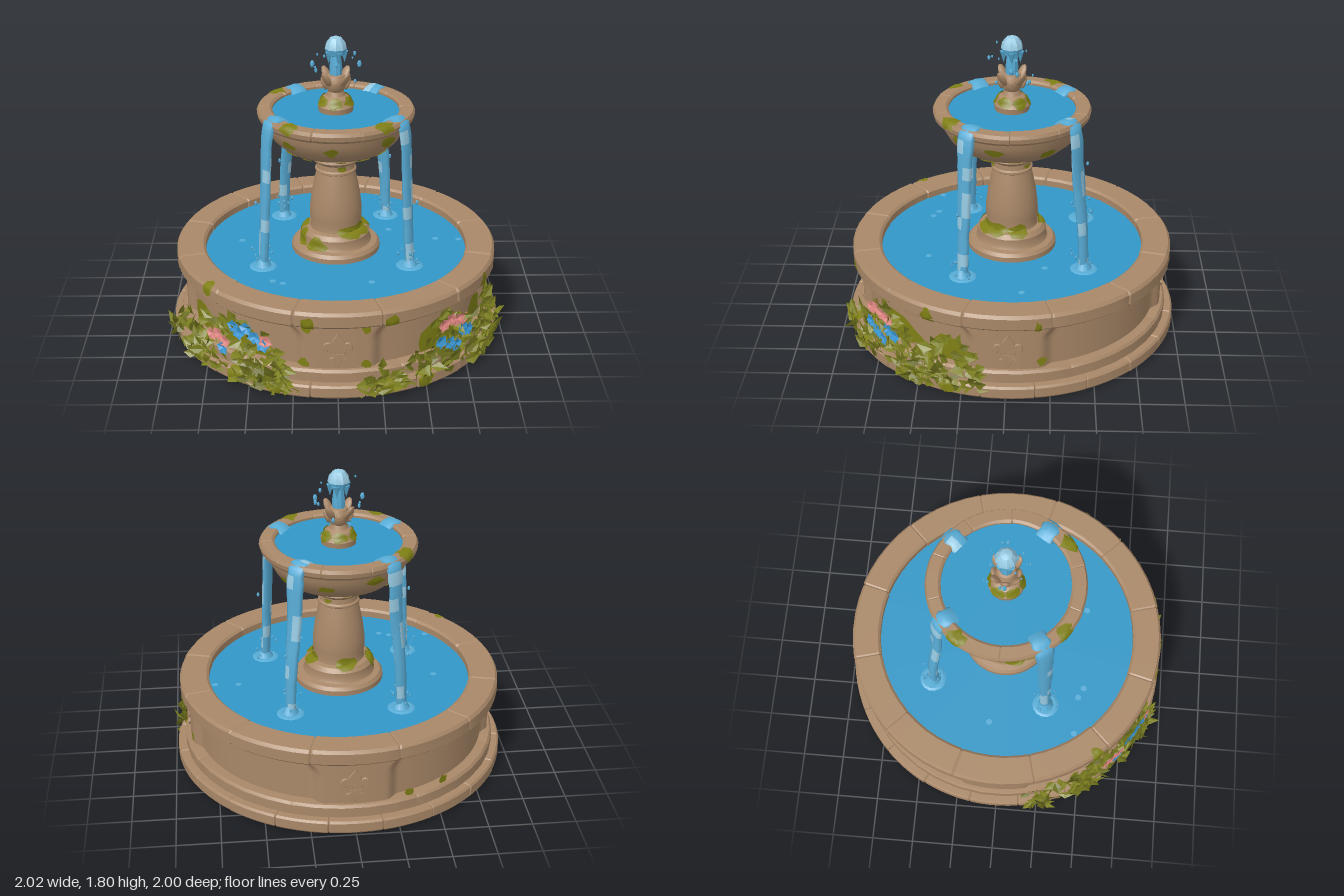
import * as THREE from 'three';
import { mergeGeometries, toCreasedNormals } from 'three/addons/utils/BufferGeometryUtils.js';

const mat = (name, color, double) => {
  const m = new THREE.MeshStandardMaterial({ color });
  m.name = name;
  if (double) m.side = THREE.DoubleSide;
  return m;
};
const deg = Math.PI / 180;

export function createModel() {
  const M = {
    stone: mat('stone', 0xa98868), moss: mat('moss', 0x7f7f16, true),
    leaf: mat('leaf', 0x7d8020, true), darkLeaf: mat('dark leaf', 0x686b1c, true),
    water: mat('pool water', 0x3297c6), stream: mat('falling water', 0x58acd6),
    foam: mat('foam', 0x98cbe3), pink: mat('pink petal', 0xe08782, true), blue: mat('blue petal', 0x3a96d2, true),
  };
  let seed = 7;
  const rnd = () => (seed = (seed * 16807) % 2147483647) / 2147483647;
  const span = (a, b) => a + (b - a) * rnd();
  const root = new THREE.Group();
  root.name = 'fountain';
  root.position.z = -0.013;
  const add = (name, geo, m, parent = root) => {
    const mesh = new THREE.Mesh(geo, m);
    mesh.name = name;
    parent.add(mesh);
    return mesh;
  };
  const polar = (th, r, y) => new THREE.Vector3(r * Math.sin(th), y, r * Math.cos(th));
  const lathe = (profile, segs) => new THREE.LatheGeometry(profile.map(p => new THREE.Vector2(...p)), segs);

  // Ring of stone blocks: a turned profile with grooves pressed in at the joints
  function blockRing(name, profile, blocks, groove, wobble) {
    const ts = [0, 0.02, 0.2, 0.4, 0.6, 0.8, 0.98], n = profile.length, seg = blocks * 7;
    const geo = lathe(profile, seg), pos = geo.attributes.position;
    const cr = profile.reduce((s, p) => s + p[0], 0) / n, cy = profile.reduce((s, p) => s + p[1], 0) / n;
    const offs = Array.from({ length: blocks }, () => span(-wobble, wobble));
    for (let k = 0; k < pos.count; k++) {
      const i = Math.floor(k / n) % seg, b = Math.floor(i / 7), j = i % 7;
      let [r, y] = profile[k % n];
      if (j === 0) {
        r -= Math.sign(r - cr) * groove;
        y -= Math.sign(y - cy) * groove;
      } else r += offs[b];
      const v = polar((b + 0.5 + ts[j]) / blocks * Math.PI * 2, r, y);
      pos.setXYZ(k, v.x, v.y, v.z);
    }
    add(name, toCreasedNormals(geo, 0.45), M.stone);
  }

  // Lower basin
  const plinth = [[0.8, 0.02], [0.978, 0.02], [0.985, 0.03], [0.985, 0.085], [0.975, 0.097], [0.8, 0.097]];
  const ledge = [[0.82, 0.09], [0.937, 0.09], [0.937, 0.155], [0.925, 0.17], [0.82, 0.17], [0.82, 0.09]];
  const rim = [[0.84, 0.44], [0.94, 0.44], [0.957, 0.455], [0.957, 0.52], [0.943, 0.538], [0.8, 0.538], [0.785, 0.525], [0.785, 0.44], [0.84, 0.44]];
  blockRing('plinthBlocks', plinth, 20, 0.005, 0.003);
  blockRing('ledgeBlocks', ledge, 8, 0.003, 0.001);
  blockRing('basinRim', rim, 12, 0.005, 0.004);
  add('underside', new THREE.CircleGeometry(0.976, 80).rotateX(Math.PI / 2).translate(0, 0.018, 0), M.stone);

  // Basin wall: recessed panels between four pilasters that flare under the rim
  const wallRows = [0.1, 0.17, 0.25, 0.32, 0.35, 0.365, 0.38, 0.39, 0.4, 0.41, 0.42, 0.43, 0.445].map(y => [1, y]);
  const wall = lathe(wallRows, 360), wp = wall.attributes.position;
  for (let k = 0; k < wp.count; k++) {
    const th = Math.atan2(wp.getX(k), wp.getZ(k)), y = wp.getY(k);
    const near = Math.abs(th - Math.round(th / (Math.PI / 2)) * Math.PI / 2);
    const half = 0.2 + 0.1 * Math.pow(Math.max(0, (y - 0.34) / 0.105), 2);
    const v = polar(th, 0.868 + 0.04 * THREE.MathUtils.smoothstep(half + 0.09 - near, 0, 0.09), y);
    wp.setXYZ(k, v.x, v.y, v.z);
  }
  wall.computeVertexNormals();
  add('basinWall', toCreasedNormals(wall, 1.2), M.stone);

  // Carved lily ornaments
  const spear = new THREE.Shape();
  spear.moveTo(0, 0.1);
  spear.bezierCurveTo(0.012, 0.07, 0.038, 0.055, 0.034, 0.03);
  spear.bezierCurveTo(0.03, 0.01, 0.014, 0, 0.012, -0.03);
  spear.lineTo(-0.012, -0.03);
  spear.bezierCurveTo(-0.014, 0, -0.03, 0.01, -0.034, 0.03);
  spear.bezierCurveTo(-0.038, 0.055, -0.012, 0.07, 0, 0.1);
  const curl = s => {
    const c = new THREE.Shape();
    c.moveTo(s * 0.014, -0.03);
    c.bezierCurveTo(s * 0.02, 0.02, s * 0.045, 0.055, s * 0.07, 0.035);
    c.bezierCurveTo(s * 0.088, 0.015, s * 0.08, -0.015, s * 0.058, -0.012);
    c.bezierCurveTo(s * 0.066, 0.005, s * 0.05, 0.012, s * 0.034, -0.03);
    return c;
  };
  const foot = new THREE.Shape([[-0.012, -0.04], [-0.045, -0.06], [-0.02, -0.07], [0, -0.105], [0.02, -0.07], [0.045, -0.06], [0.012, -0.04]].map(p => new THREE.Vector2(...p)));
  const relief = new THREE.ExtrudeGeometry([spear, curl(1), curl(-1), foot], { depth: 0.012, bevelSize: 0.003, bevelThickness: 0.005, bevelSegments: 1, curveSegments: 6 });
  for (const a of [0, 90, 180]) {
    const g = new THREE.Group();
    g.name = 'carvedOrnament';
    g.rotation.y = a * deg;
    root.add(g);
    add('lily', relief, M.stone, g).position.set(0, 0.295, 0.902);
    add('lilyBand', new THREE.BoxGeometry(0.07, 0.014, 0.028), M.stone, g).position.set(0, 0.26, 0.91);
  }

  // Pools
  const pool = (name, r, y) => add(name, new THREE.CircleGeometry(r, 64).rotateX(-Math.PI / 2).translate(0, y, 0), M.water);
  pool('lowerPool', 0.8, 0.485);
  pool('upperPool', 0.385, 1.362);

  // Pedestal, upper bowl and finial
  const column = [[0.265, 0.46], [0.265, 0.515], [0.25, 0.535], [0.215, 0.54], [0.205, 0.56], [0.205, 0.6], [0.185, 0.625], [0.155, 0.63], [0.15, 0.66], [0.156, 0.7], [0.154, 0.76], [0.143, 0.85], [0.125, 0.94], [0.115, 0.985], [0.122, 0.99], [0.122, 1.002], [0.112, 1.01], [0.11, 1.04], [0.14, 1.06], [0.148, 1.07], [0.142, 1.085], [0.1, 1.087], [0.09, 1.12]];
  add('pedestal', toCreasedNormals(lathe(column, 32), 0.6), M.stone);
  const bowl = [[0.05, 1.085], [0.13, 1.1], [0.22, 1.119], [0.31, 1.157], [0.372, 1.212], [0.408, 1.28], [0.418, 1.34]];
  const bowlRim = [[0.4, 1.322], [0.44, 1.322], [0.455, 1.338], [0.46, 1.365], [0.45, 1.385], [0.385, 1.387], [0.37, 1.375], [0.37, 1.33], [0.4, 1.322]];
  add('upperBowl', toCreasedNormals(lathe(bowl, 48), 0.6), M.stone);
  blockRing('bowlRim', bowlRim, 10, 0.003, 0.002);
  const finial = [[0.1, 1.35], [0.105, 1.395], [0.09, 1.415], [0.08, 1.44], [0.055, 1.455], [0.045, 1.48], [0.06, 1.51], [0.065, 1.54], [0.05, 1.575], [0, 1.59]];
  add('finial', toCreasedNormals(lathe(finial, 20), 0.6), M.stone);
  for (let i = 0; i < 8; i++) {
    const petal = add('finialPetal', new THREE.SphereGeometry(1, 8, 6), M.stone);
    const outer = i % 2, th = i * Math.PI / 4;
    petal.scale.set(0.03, outer ? 0.055 : 0.042, 0.016);
    petal.rotation.set(outer ? 0.55 : 0.3, th, 0, 'YXZ');
    petal.position.copy(polar(th, outer ? 0.076 : 0.068, outer ? 1.56 : 1.525));
  }

  // Moss: blobs that follow a turned profile, s is the distance along it
  const mossParts = [];
  function moss(profile, angle, s, w, h, off = 0.007) {
    const at = d => {
      let i = 0, len;
      for (;; i++) {
        len = Math.hypot(profile[i + 1][0] - profile[i][0], profile[i + 1][1] - profile[i][1]);
        if (d <= len || i === profile.length - 2) break;
        d -= len;
      }
      const t = THREE.MathUtils.clamp(d / len, 0, 1), [a, b] = [profile[i], profile[i + 1]];
      const dr = b[0] - a[0], dy = b[1] - a[1];
      return [a[0] + dr * t + dy / len * off, a[1] + dy * t - dr / len * off];
    };
    const N = 10, rings = 4, pos = [], idx = [], r0 = at(s)[0];
    const edge = Array.from({ length: N }, () => span(0.7, 1.2));
    for (let k = 0; k <= rings; k++) for (let i = 0; i < N; i++) {
      const q = k / rings * edge[i], f = i / N * Math.PI * 2;
      const [r, y] = at(Math.max(0, s + Math.sin(f) * q * h));
      pos.push(...polar(angle * deg + Math.cos(f) * q * w / r0, r, y).toArray());
      if (k < rings) {
        const a = k * N + i, b = k * N + (i + 1) % N;
        idx.push(a, a + N, b, b, a + N, b + N);
      }
    }
    const g = new THREE.BufferGeometry();
    g.setAttribute('position', new THREE.Float32BufferAttribute(pos, 3));
    g.setIndex(idx);
    g.computeVertexNormals();
    mossParts.push(g);
  }
  const panel = [[0.872, 0.17], [0.872, 0.44]], pilaster = [[0.908, 0.17], [0.908, 0.44]];
  for (const [a, s, w] of [[-50, 0.19, 0.045], [-10, 0.13, 0.04], [18, 0.12, 0.045], [100, 0.12, 0.02], [62, 0.14, 0.04]]) moss(rim, a, s, w, 0.055);
  for (const a of [-38, 38, -125]) moss(bowlRim, a, 0.125, 0.06, 0.06);
  for (let i = 0; i < 9; i++) moss(bowl, i * 40 + span(-8, 8), span(0.36, 0.43), span(0.04, 0.06), span(0.025, 0.04));
  for (let i = 0; i < 12; i++) moss(bowl, i * 30 + span(-8, 8), span(0.14, 0.27), span(0.03, 0.05), span(0.025, 0.045));
  for (const a of [-70, -35, 30, 55, 100, 190, 260]) moss(column, a, span(0.14, 0.26), 0.07, 0.055);
  for (const a of [15, 140, 260]) moss(column, a, 0.66, 0.03, 0.035);
  for (const a of [0, 60, 120, 180, 240, 300]) moss(finial, a, 0.075, 0.045, 0.035);
  for (const [a, w] of [[-38, 0.24], [-62, 0.13], [43, 0.2], [68, 0.16]]) moss(panel, a, 0.06, w, 0.1);
  for (const [a, s] of [[-12, 0.03], [10, 0.02], [10, 0.25], [-11, 0.25], [102, 0.05], [200, 0.02], [215, 0.02]]) moss(pilaster, a, s, 0.03, 0.03);
  for (const a of [-55, -35, -21, 16, 30, 55, 70]) moss(plinth, a, 0.24, 0.07, 0.06);
  add('mossPatches', mergeGeometries(mossParts), M.moss);

  // Four streams pouring over the bowl rim, with paler flecks
  const drops = [];
  const drop = (v, size) => drops.push(new THREE.IcosahedronGeometry(size, 0).scale(0.8, 1.3, 0.8).translate(v.x, v.y, v.z));
  for (const [angle, end] of [[57.5, 0.51], [-57.5, 0.51], [143, 0.535], [-143, 0.535]]) {
    const th = angle * deg, rows = 26, N = 8, pos = [], idx = [[], []];
    const path = new THREE.CatmullRomCurve3([[0.345, 1.358], [0.385, 1.38], [0.44, 1.378], [0.464, 1.3], [0.48, 1.05], [end - 0.015, 0.75], [end, 0.48]].map(([r, y]) => polar(th, r, y)));
    const side = polar(th + Math.PI / 2, 1, 0);
    const pale = Array.from({ length: rows * 2 }, (_, q) => rnd() < (q < 12 ? 0.35 : 0.16));
    for (let i = 0; i <= rows; i++) {
      const t = i / rows, c = path.getPointAt(t), n = side.clone().cross(path.getTangentAt(t));
      const w = THREE.MathUtils.lerp(0.06, 0.032, t) * span(0.93, 1.07), d = THREE.MathUtils.lerp(0.018, 0.027, t);
      for (let j = 0; j < N; j++) {
        const f = j / N * Math.PI * 2;
        pos.push(...c.clone().addScaledVector(side, Math.cos(f) * w).addScaledVector(n, Math.sin(f) * d).toArray());
        if (i === rows) continue;
        const a = i * N + j, b = i * N + (j + 1) % N;
        idx[pale[(i >> 1) * 4 + (j >> 1)] ? 1 : 0].push(a, a + N, b, b, a + N, b + N);
      }
    }
    const g = new THREE.BufferGeometry();
    g.setAttribute('position', new THREE.Float32BufferAttribute(pos, 3));
    g.setIndex([...idx[0], ...idx[1]]);
    g.addGroup(0, idx[0].length, 0);
    g.addGroup(idx[0].length, idx[1].length, 1);
    g.computeVertexNormals();
    add('waterStream', g, [M.stream, M.foam]);
    // Splash ripple and spray where it lands
    const p = polar(th, end, 0.487);
    add('splashDisc', new THREE.CylinderGeometry(0.065, 0.085, 0.008, 14), M.stream).position.copy(p);
    add('splashMound', new THREE.ConeGeometry(0.055, 0.09, 9, 1, true).translate(0, 0.04, 0), M.stream).position.copy(p);
    for (let i = 0; i < 9; i++) drop(polar(span(0, 6.28), span(0.04, 0.08), span(0.01, 0.13)).add(p), span(0.006, 0.012));
    drop(polar(th, end + 0.04, span(0.75, 0.92)), 0.012);
  }

  // Top jet, its pale crown and its droplets
  const crown = [[0.064, 1.735], [0.056, 1.77], [0.034, 1.797], [0, 1.81]];
  const jet = [[0.036, 1.56], [0.038, 1.62], [0.03, 1.69], [0.054, 1.7], [0.064, 1.735]];
  add('waterJet', toCreasedNormals(lathe(jet, 9), 0.5), M.stream);
  add('jetCrown', toCreasedNormals(lathe(crown, 9), 0.5), M.foam);
  for (let i = 0; i < 5; i++)
    add('jetFringe', new THREE.ConeGeometry(0.022, 0.07, 6).rotateX(Math.PI), M.stream).position.copy(polar(i * 1.257 + 0.3, 0.05, 1.685));
  for (let i = 0; i < 14; i++) drop(polar(i * 0.9, span(0.08, 0.145), span(1.42, 1.74)), span(0.006, 0.015));
  for (const s of [-1, 1]) drop(new THREE.Vector3(s * 0.135, 1.64, 0), 0.018);
  add('droplets', mergeGeometries(drops), M.stream);
  for (const [x, z] of [[-0.57, -0.06], [-0.6, 0.46], [-0.31, 0.5], [-0.37, 0.47], [0.2, 0.49], [0.61, -0.07], [0.75, -0.06], [0.33, -0.2]])
    add('waterFleck', new THREE.CircleGeometry(0.02, 6).rotateX(-Math.PI / 2), M.stream).position.set(x, 0.489, z);

  // Leaves: folded diamonds pointing along +z, with their upper face turned outward
  const leafGeo = new THREE.BufferGeometry();
  leafGeo.setAttribute('position', new THREE.Float32BufferAttribute([0, 0, 0, -0.5, 0.1, 0.45, 0, 0, 0.5, 0.5, 0.1, 0.45, 0, -0.05, 1], 3));
  leafGeo.setIndex([0, 1, 2, 0, 2, 3, 1, 4, 2, 2, 4, 3]);
  const flatLeaf = leafGeo.toNonIndexed();
  flatLeaf.computeVertexNormals();
  const aim = new THREE.Object3D();
  const leafAt = (v, dir, w, l, roll) => {
    aim.position.copy(v);
    aim.up.set(v.x, 0.35, v.z).normalize();
    aim.lookAt(v.clone().add(dir));
    aim.rotateZ(span(-roll, roll));
    aim.scale.set(w, l, l);
    aim.updateMatrix();
    return flatLeaf.clone().applyMatrix4(aim.matrix);
  };
  const greens = [[], []];
  for (const [angle, half, height, n] of [[-38, 19, 0.38, 140], [-64, 12, 0.25, 60], [43, 16, 0.36, 115], [69, 11, 0.3, 75], [15, 5, 0.12, 24], [-21, 4, 0.1, 14]])
    for (let i = 0; i < n; i++) {
      const t = span(-1, 1), th = (angle + t * half) * deg, y = 0.04 + rnd() * height * (1 - 0.65 * t * t);
      const v = polar(th, y < 0.12 ? span(0.955, 0.98) : span(0.91, 0.955), y);
      const dir = polar(th, span(0.1, 0.4), span(-0.5, 0.8)).addScaledVector(polar(th + Math.PI / 2, 1, 0), span(-1, 1) + t * 0.5).normalize();
      if (y < 0.1) dir.y = Math.abs(dir.y) * 0.6;
      greens[rnd() < 0.25 ? 1 : 0].push(leafAt(v, dir, span(0.05, 0.07), span(0.075, 0.11), 0.5));
    }
  add('leaves', mergeGeometries(greens[0]), M.leaf);
  add('shadedLeaves', mergeGeometries(greens[1]), M.darkLeaf);

  // Flowers: five broad petals opening outward
  const blooms = (name, m, spots) => {
    const parts = [];
    for (const [a, y] of spots) for (let i = 0; i < 5; i++) {
      const th = a * deg, f = i * 1.257 + a;
      const dir = polar(th, 0.3, Math.sin(f)).addScaledVector(polar(th + Math.PI / 2, 1, 0), Math.cos(f));
      parts.push(leafAt(polar(th, 0.98, y), dir, 0.046, 0.046, 0.1));
    }
    add(name, mergeGeometries(parts), m);
  };
  blooms('pinkFlowers', M.pink, [[-43, 0.29], [-40, 0.26], [-46, 0.27], [-24, 0.34], [37, 0.37], [40, 0.39], [43, 0.37], [46, 0.36]]);
  blooms('blueFlowers', M.blue, [[-31, 0.39], [-34, 0.35], [-28, 0.35], [-36, 0.38], [-41, 0.21], [-25, 0.31], [36, 0.27], [40, 0.24], [46, 0.29], [49, 0.27], [43, 0.21]]);

  const model = new THREE.Group();
  model.name = 'gardenFountain';
  model.add(root);
  return model;
}
